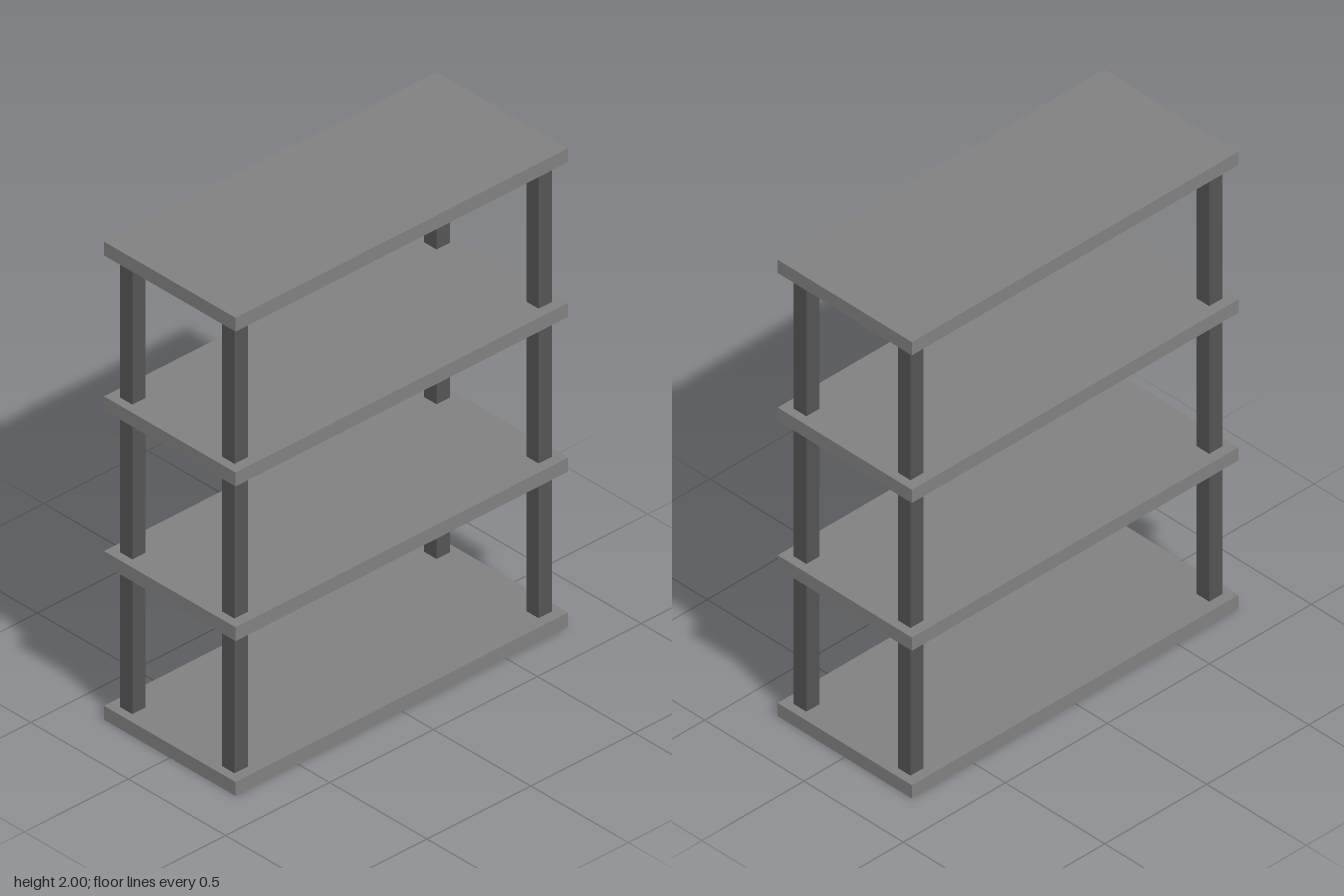
import * as THREE from 'three';

const WIDTH = 1.6, DEPTH = 0.675, THICK = 0.058, HEIGHT = 2;
const SHELVES = 4, POST = 0.064, POST_X = 0.732, POST_Z = 0.262;

export function createModel() {
  const shelfGrey = new THREE.MeshStandardMaterial({ color: 0x808080 });
  shelfGrey.name = 'shelf grey';
  const postGrey = new THREE.MeshStandardMaterial({ color: 0x545454 });
  postGrey.name = 'post dark grey';

  const group = new THREE.Group();
  group.name = 'shelfUnit';

  const addBox = (name, size, position, material) => {
    const mesh = new THREE.Mesh(new THREE.BoxGeometry(...size), material);
    mesh.name = name;
    mesh.position.set(...position);
    group.add(mesh);
  };

  const pitch = (HEIGHT - THICK) / (SHELVES - 1);
  const gap = pitch - THICK;

  for (let i = 0; i < SHELVES; i++) {
    // Shelf boards, evenly spaced from the floor to the top
    const y = THICK / 2 + i * pitch;
    addBox(`shelf${i + 1}`, [WIDTH, THICK, DEPTH], [0, y, 0], shelfGrey);
    if (i === SHELVES - 1) break;

    // Four square posts standing between this board and the next
    for (const sx of [-1, 1]) {
      for (const sz of [-1, 1]) {
        const name = `${sz > 0 ? 'front' : 'back'}${sx > 0 ? 'Left' : 'Right'}Post${i + 1}`;
        addBox(name, [POST, gap, POST], [sx * POST_X, y + pitch / 2, sz * POST_Z], postGrey);
      }
    }
  }
  return group;
}
